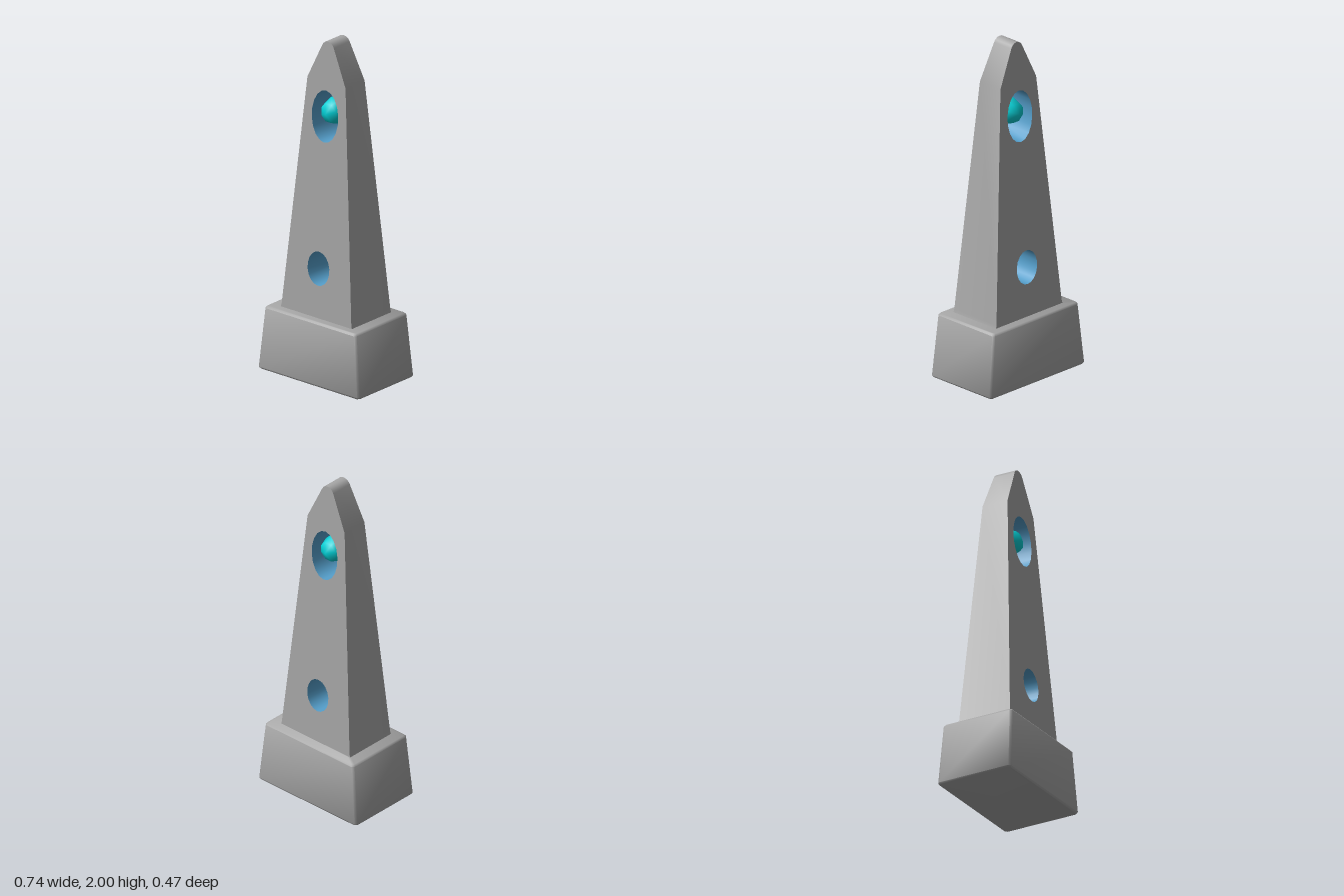
import * as THREE from 'three';
import { mergeGeometries, toCreasedNormals } from 'three/addons/utils/BufferGeometryUtils.js';

// Half depth of the tapering shaft at height y
const halfDepth = (y) => 0.167 - 0.101 * (y - 0.38) / 1.62;

// Wall running front to back along a closed outline (counter-clockwise faces outward)
function wall(points) {
  const pos = [], index = [], n = points.length;
  points.forEach((p, i) => {
    const d = halfDepth(p.y), a = 2 * i, c = 2 * ((i + 1) % n);
    pos.push(p.x, p.y, d, p.x, p.y, -d);
    index.push(a, a + 1, c, a + 1, c + 1, c);
  });
  const g = new THREE.BufferGeometry();
  g.setAttribute('position', new THREE.Float32BufferAttribute(pos, 3));
  g.setIndex(index);
  return g;
}

// Pierced face of the shaft, leaning with the taper
function face(shape, side) {
  const g = new THREE.ShapeGeometry(shape);
  g.deleteAttribute('uv');
  g.deleteAttribute('normal');
  const p = g.attributes.position;
  for (let i = 0; i < p.count; i++) p.setZ(i, side * halfDepth(p.getY(i)));
  if (side < 0) g.setIndex(Array.from(g.index.array).reverse());
  return g;
}

// Clockwise ellipse, so that its wall faces inward
function ellipse(cy, rx, ry, n = 18) {
  return Array.from({ length: n }, (_, i) => {
    const a = -i / n * Math.PI * 2 + Math.PI / 2;
    return new THREE.Vector2(rx * Math.cos(a), cy + ry * Math.sin(a));
  });
}

// Closed loft through chamfered rectangles [y, half width, half depth]
function loft(sections, c) {
  const pos = [], index = [], n = 8;
  for (const [y, w, d] of sections) {
    for (const [x, z] of [[w, d - c], [w, c - d], [w - c, -d], [c - w, -d],
      [-w, c - d], [-w, d - c], [c - w, d], [w - c, d]]) pos.push(x, y, z);
  }
  for (let s = 0; s < sections.length - 1; s++) {
    for (let i = 0; i < n; i++) {
      const a = s * n + i, b = s * n + (i + 1) % n;
      index.push(a, b, b + n, a, b + n, a + n);
    }
  }
  const top = (sections.length - 1) * n;
  for (let i = 1; i < n - 1; i++) {
    index.push(0, i + 1, i, top, top + i, top + i + 1);
  }
  const g = new THREE.BufferGeometry();
  g.setAttribute('position', new THREE.Float32BufferAttribute(pos, 3));
  g.setIndex(index);
  return g;
}

export function createModel() {
  const group = new THREE.Group();
  const stone = new THREE.MeshStandardMaterial({ name: 'grey stone', color: 0xa6a6a6 });
  const blue = new THREE.MeshStandardMaterial({ name: 'blue lining', color: 0x559fcb });
  const cyan = new THREE.MeshStandardMaterial({ name: 'cyan gem', color: 0x00d0d6 });
  const add = (name, geometry, material) => {
    const mesh = new THREE.Mesh(geometry, material);
    mesh.name = name;
    group.add(mesh);
    return mesh;
  };

  // Plinth with softened rims
  add('plinth', toCreasedNormals(loft([
    [0, 0.364, 0.231], [0.01, 0.372, 0.237], [0.366, 0.335, 0.223], [0.377, 0.326, 0.214],
  ], 0.012), 0.9), stone);

  // Shaft outline: tapered sides, shoulders and a rounded tip
  const right = [[0.263, 0.37], [0.256, 0.395], [0.14, 1.76], [0.042, 1.972],
    [0.033, 1.986], [0.018, 1.997]];
  const outline = [
    ...right.map(([x, y]) => new THREE.Vector2(x, y)),
    new THREE.Vector2(0, 2),
    ...right.map(([x, y]) => new THREE.Vector2(-x, y)).reverse(),
  ];
  const holes = [ellipse(1.56, 0.097, 0.153), ellipse(0.665, 0.08, 0.1)];
  const shape = new THREE.Shape(outline);
  shape.holes = holes.map((points) => new THREE.Path(points));
  const shaft = mergeGeometries([face(shape, 1), face(shape, -1), wall(outline)]);
  add('shaft', toCreasedNormals(shaft, 0.6), stone);

  // Lined openings through the shaft
  ['upperOpening', 'lowerOpening'].forEach((name, i) => {
    add(name, toCreasedNormals(wall(holes[i]), 0.8), blue);
  });

  // Eight-sided gem floating in the upper opening, points to front and back
  const gemGeometry = new THREE.SphereGeometry(0.081, 8, 4);
  gemGeometry.rotateY(Math.PI / 8).rotateX(Math.PI / 2).scale(1, 1, 1.12);
  add('gem', gemGeometry, cyan).position.y = 1.57;

  return group;
}
